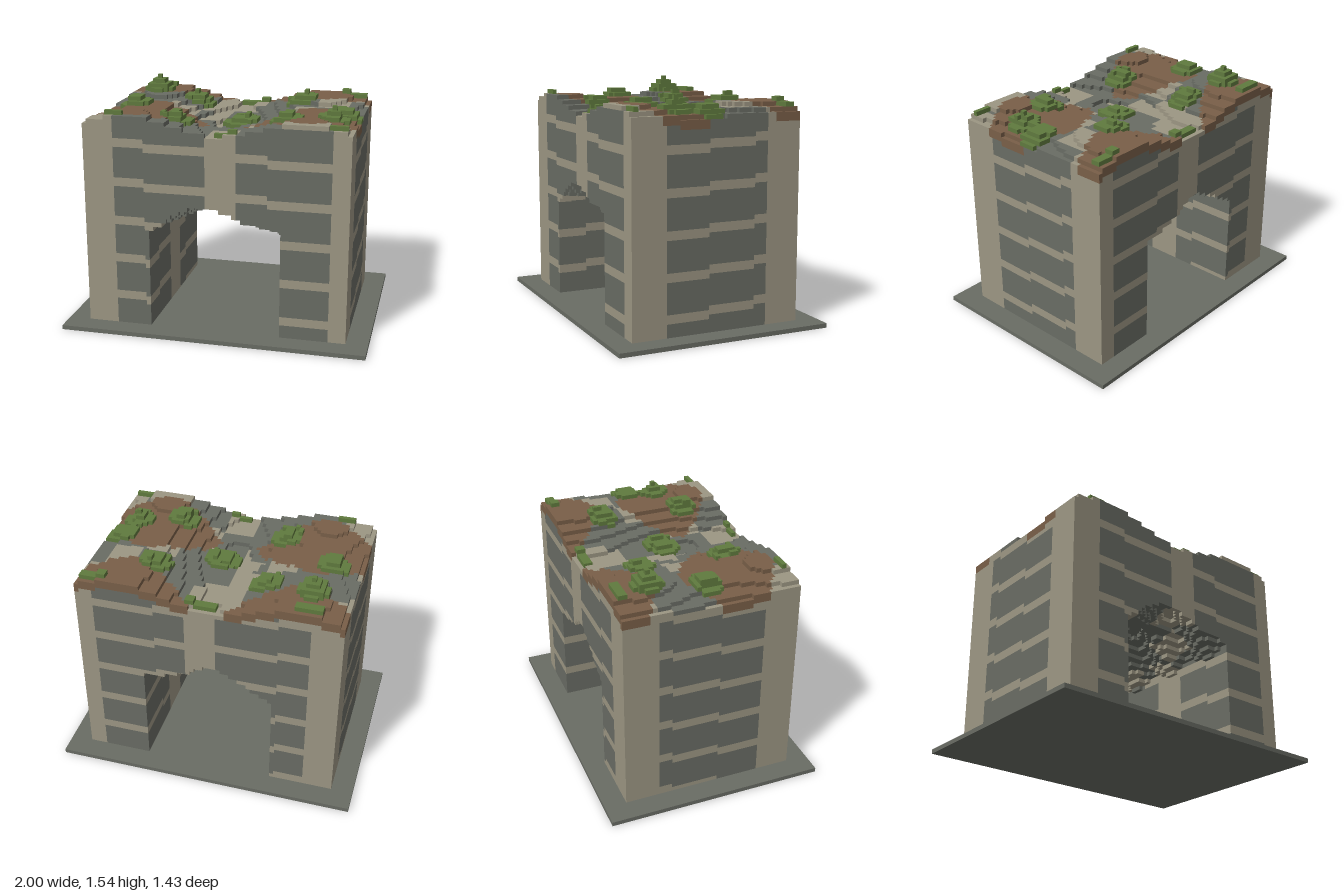
import * as THREE from 'three';

const U = 1 / 35; // edge length of one block
const HX = 30, HZ = 20; // half size of the rock, in blocks

const mat = (name, color) => Object.assign(new THREE.MeshStandardMaterial({ color }), { name });
const mod = (a, n) => ((a % n) + n) % n;

// Rolling top of the rock: four high shoulders around a low saddle
const ground = (x, z) => Math.round(
  47.7 - 1.9 * Math.cos(Math.PI * (x + 0.5) / 20) + 0.6 * -Math.cos(2 * Math.PI * (z - 3) / 36));

// Rough arched ceiling of the passage
const ceiling = (x, z) => Math.round(
  25 + 5 * (1 - Math.pow(Math.abs(x + 0.5) / 15, 1.4)) + Math.sin(z * 0.5 + x * 0.3));

// Plants: centre x, centre z, radius (blocks)
const bushes = [[-10.5, -9, 3.5], [14.5, -9, 3.5], [-23.5, 1, 3.5], [2, 1, 3.9],
  [26.5, 1, 3.4], [-10.5, 11, 3.5], [14.5, 11, 3.5]];
// Low hedges: x from, x to, z from, z to
const hedges = [[-25, -19, -19, -17], [-2, 5, -19, -17], [23, 29, -19, -17],
  [-25, -21, 18, 19], [0, 5, 18, 19], [25, 29, 18, 19]];
// Stepped trees: centre block x, z, height
const trees = [[-22, -12, 4], [24, 7, 3]];

function plantHeight(x, z) {
  let g = 0;
  for (const [cx, cz, r] of bushes) {
    const d = Math.hypot(x + 0.5 - cx, z + 0.5 - cz);
    if (d < r) g = Math.max(g, d < r - 1.5 ? 2 : 1);
  }
  for (const [x0, x1, z0, z1] of hedges) if (x >= x0 && x < x1 && z >= z0 && z < z1) g = Math.max(g, 1);
  for (const [cx, cz, h] of trees) {
    const d = Math.max(Math.abs(x - cx), Math.abs(z - cz));
    if (d <= 2) g = Math.max(g, h - d);
    else if (d === 3 && Math.min(Math.abs(x - cx), Math.abs(z - cz)) <= 1) g = Math.max(g, 1);
  }
  return g;
}

// Rounded diamonds of soil on the four shoulders
function isSoil(x, z) {
  const dx = Math.abs(Math.abs((x + 0.5) * U) - 0.56);
  return [0.21, -0.57].some((cz) =>
    Math.pow(dx / 0.44, 1.3) + Math.pow(Math.abs((z + 0.5) * U - cz) / 0.31, 1.3) < 1);
}

const PALE = 0, DARK = 1, SOIL = 2, GREEN = 3;

// Kind of block in a cell, or -1 where it is empty
function blockAt(x, y, z) {
  if (x < -HX || x >= HX || z < -HZ || z >= HZ || y < 1) return -1;
  const h = ground(x, z);
  if (y >= h) return y < h + plantHeight(x, z) ? GREEN : -1;
  if (x >= -15 && x < 15 && y < ceiling(x, z)) return -1;
  if (y >= h - 2 && isSoil(x, z)) return SOIL;
  // pale upright piers in a diagonal pattern
  if ((Math.floor((x + 30) / 7) + Math.floor((z + 20) / 8)) % 4 === 0) return PALE;
  // sloping pale strata
  const layer = mod(y + Math.floor((x + 2) / 14) + Math.floor((z - 2) / 11), 9);
  return layer === 6 || layer === 7 ? PALE : DARK;
}

// Collects the exposed faces of every block, by kind
function blockFaces() {
  const W = 2 * HX + 2, D = 2 * HZ + 2, H = 58;
  const cells = new Int8Array(W * D * H).fill(-1);
  const at = (x, y, z) => (y * D + z + HZ + 1) * W + x + HX + 1;
  for (let y = 1; y < H - 1; y++)
    for (let z = -HZ; z < HZ; z++)
      for (let x = -HX; x < HX; x++) cells[at(x, y, z)] = blockAt(x, y, z);

  const out = [0, 1, 2, 3].map(() => ({ pos: [], nor: [], idx: [] }));
  const ring = [[0, 0], [1, 0], [1, 1], [0, 1]];
  for (let y = 1; y < H - 1; y++)
    for (let z = -HZ; z < HZ; z++)
      for (let x = -HX; x < HX; x++) {
        const kind = cells[at(x, y, z)];
        if (kind < 0) continue;
        for (let a = 0; a < 3; a++)
          for (const s of [-1, 1]) {
            const n = [0, 0, 0];
            n[a] = s;
            if (y + n[1] < 1 || cells[at(x + n[0], y + n[1], z + n[2])] >= 0) continue;
            const o = out[kind], first = o.pos.length / 3;
            for (const [b, c] of ring) {
              const p = [x, y, z];
              if (s > 0) p[a] += 1;
              p[(a + 1) % 3] += b;
              p[(a + 2) % 3] += c;
              o.pos.push(p[0] * U, p[1] * U, p[2] * U);
              o.nor.push(...n);
            }
            const order = s > 0 ? [0, 1, 2, 0, 2, 3] : [0, 2, 1, 0, 3, 2];
            o.idx.push(...order.map((i) => first + i));
          }
      }
  return out;
}

export function createModel() {
  const group = new THREE.Group();
  group.name = 'rockArch';
  const mats = [mat('paleStone', 0x9c9683), mat('darkStone', 0x696c64),
    mat('soil', 0x795f48), mat('leafGreen', 0x607a3e)];

  // Base slab
  const base = new THREE.Mesh(new THREE.BoxGeometry(70 * U, U, 50 * U), mats[DARK]);
  base.position.y = U / 2;
  base.name = 'baseSlab';
  group.add(base);

  // Rock, soil and plants
  const names = ['paleStrata', 'darkRock', 'soilPatches', 'plants'];
  blockFaces().forEach(({ pos, nor, idx }, i) => {
    const geo = new THREE.BufferGeometry();
    geo.setAttribute('position', new THREE.Float32BufferAttribute(pos, 3));
    geo.setAttribute('normal', new THREE.Float32BufferAttribute(nor, 3));
    geo.setIndex(idx);
    const mesh = new THREE.Mesh(geo, mats[i]);
    mesh.name = names[i];
    group.add(mesh);
  });
  return group;
}
